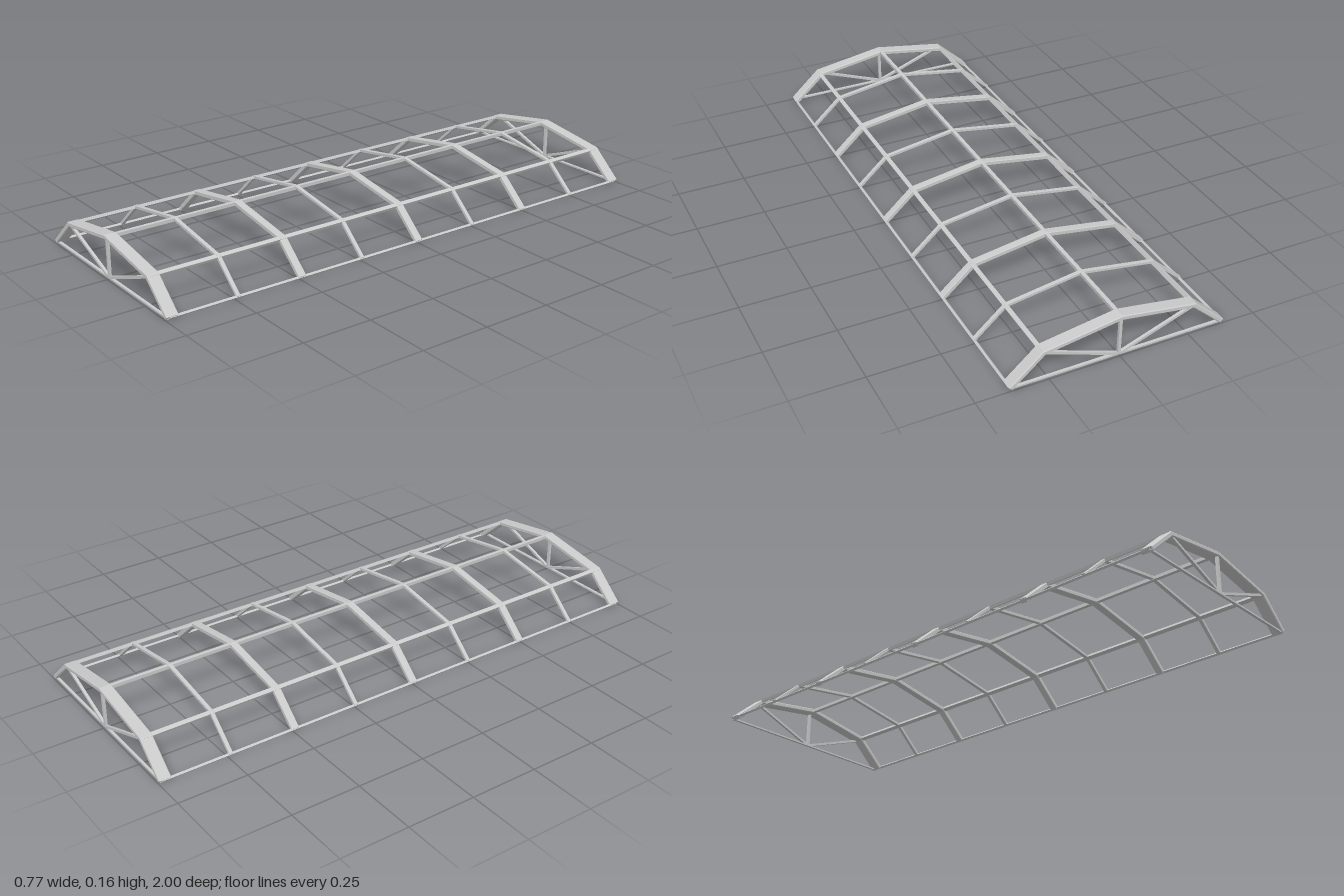
import * as THREE from 'three';

const material = new THREE.MeshStandardMaterial({ color: 0xcccccc, flatShading: true });

// Outer line of the five-point arch, right foot to left foot
const OUTER = [[-0.386, 0.0125], [-0.272, 0.114], [0, 0.157], [0.272, 0.114], [0.386, 0.0125]];

// Shift the arch line inward by d, with mitred joints
function offsetLine(d) {
  const normals = [];
  for (let i = 0; i < OUTER.length - 1; i++) {
    const dx = OUTER[i + 1][0] - OUTER[i][0], dy = OUTER[i + 1][1] - OUTER[i][1];
    const l = Math.hypot(dx, dy);
    normals.push([dy / l, -dx / l]);
  }
  return OUTER.map(([x, y], i) => {
    const a = normals[Math.max(i - 1, 0)], b = normals[Math.min(i, normals.length - 1)];
    const k = d / (1 + a[0] * b[0] + a[1] * b[1]);
    return new THREE.Vector2(x + (a[0] + b[0]) * k, y + (a[1] + b[1]) * k);
  });
}

function addMesh(parent, name, geometry) {
  const mesh = new THREE.Mesh(geometry, material);
  mesh.name = name;
  parent.add(mesh);
  return mesh;
}

// Arch band with lightly bevelled edges
function addArch(parent, name, z, width, thickness, bevel) {
  const shape = new THREE.Shape([...offsetLine(0), ...offsetLine(thickness).reverse()]);
  const geometry = new THREE.ExtrudeGeometry(shape, {
    depth: width - 2 * bevel, bevelEnabled: true, bevelSegments: 1,
    bevelSize: bevel, bevelThickness: bevel, bevelOffset: -bevel,
  });
  geometry.translate(0, 0, bevel - width / 2);
  addMesh(parent, name, geometry).position.z = z;
}

// Straight bar between two points in the plane of an end truss
function addBar(parent, name, from, to, thickness, depth) {
  const dx = to[0] - from[0], dy = to[1] - from[1];
  const bar = addMesh(parent, name, new THREE.BoxGeometry(Math.hypot(dx, dy), thickness, depth));
  bar.position.set((from[0] + to[0]) / 2, (from[1] + to[1]) / 2, 0);
  bar.rotation.z = Math.atan2(dy, dx);
}

// Rail running the whole length
function addRail(parent, name, x, y, width, height, tilt) {
  const rail = addMesh(parent, name, new THREE.BoxGeometry(width, height, 1.98));
  rail.position.set(x, y, 0);
  rail.rotation.z = tilt;
}

export function createModel() {
  const model = new THREE.Group();
  model.name = 'archedRoofFrame';

  // Heavy arches at the ends, medium ones between
  for (const s of [-1, 1]) addArch(model, 'endArch', s * 0.978, 0.044, 0.017, 0.003);
  for (const z of [-0.493, 0, 0.493]) addArch(model, 'mainArch', z, 0.028, 0.016, 0.002);

  // Slender intermediate ribs
  for (const z of [-0.74, -0.247, 0.247, 0.74]) addArch(model, 'rib', z, 0.014, 0.011, 0.001);

  // Lengthwise rails
  addRail(model, 'ridgeRail', 0, 0.149, 0.014, 0.012, 0);
  for (const s of [-1, 1]) {
    addRail(model, 'shoulderRail', s * 0.27, 0.107, 0.015, 0.011, -s * 0.45);
    addRail(model, 'baseRail', s * 0.38, 0.008, 0.008, 0.008, -s * 0.75);
  }

  // Truss across each end
  for (const s of [-1, 1]) {
    const truss = new THREE.Group();
    truss.name = 'endTruss';
    truss.position.z = s * 0.99;
    addBar(truss, 'bottomChord', [-0.38, 0.005], [0.38, 0.005], 0.006, 0.01);
    addBar(truss, 'kingPost', [0, 0.004], [0, 0.145], 0.01, 0.01);
    for (const m of [-1, 1]) addBar(truss, 'diagonal', [m * 0.006, 0.007], [m * 0.264, 0.103], 0.009, 0.01);
    model.add(truss);
  }
  return model;
}
